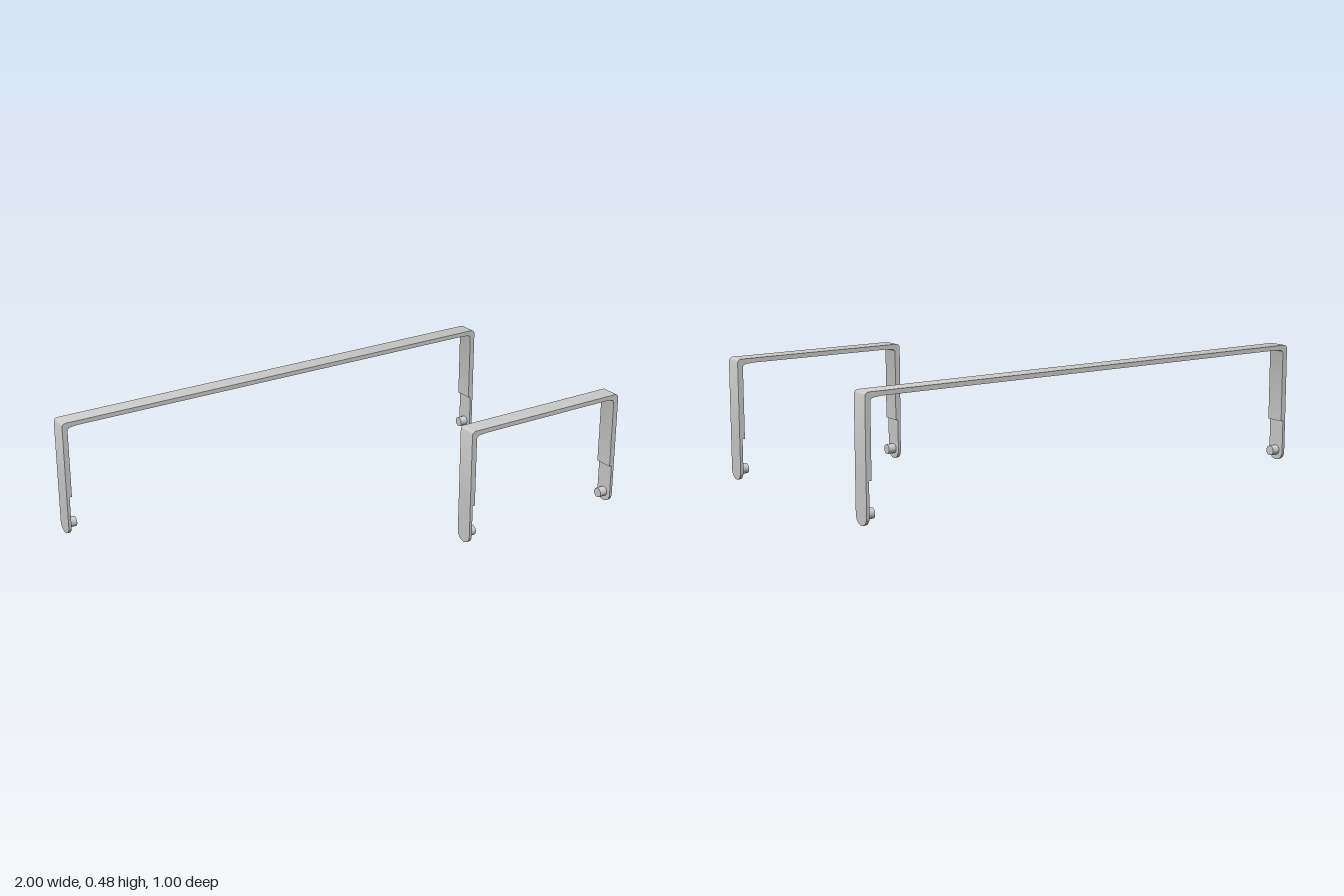
import * as THREE from 'three';
import { toCreasedNormals } from 'three/addons/utils/BufferGeometryUtils.js';

const TOP = 0.478, STEP = 0.165, WIDTH = 0.075, LEG = 0.022, BAR = 0.018, TAB = 0.012;
const material = new THREE.MeshStandardMaterial({ color: 0xcccccc });

function part(name, geometry) {
  const mesh = new THREE.Mesh(geometry, material);
  mesh.name = name;
  return mesh;
}

function extrude(shape, depth) {
  const geo = new THREE.ExtrudeGeometry(shape, { depth, bevelEnabled: false, curveSegments: 16 });
  geo.translate(0, 0, -depth / 2);
  return toCreasedNormals(geo, 0.5);
}

// U-shaped strip with rounded outer corners and filleted inner corners
function frameShape(h) {
  const r = 0.016, i = h - LEG, under = TOP - BAR;
  const s = new THREE.Shape();
  s.moveTo(-h, STEP);
  s.lineTo(-i, STEP);
  s.lineTo(-i, under - 0.018);
  s.quadraticCurveTo(-i, under - 0.004, -i + 0.014, under - 0.003);
  s.lineTo(-i + 0.045, under);
  s.lineTo(i - 0.045, under);
  s.lineTo(i - 0.014, under - 0.003);
  s.quadraticCurveTo(i, under - 0.004, i, under - 0.018);
  s.lineTo(i, STEP);
  s.lineTo(h, STEP);
  s.lineTo(h, TOP - r);
  s.absarc(h - r, TOP - r, r, 0, Math.PI / 2, false);
  s.lineTo(-h + r, TOP);
  s.absarc(-h + r, TOP - r, r, Math.PI / 2, Math.PI, false);
  s.closePath();
  return s;
}

// Thin round-ended tongue below the step
function tabShape() {
  const r = WIDTH / 2;
  const s = new THREE.Shape();
  s.moveTo(r, STEP);
  s.lineTo(-r, STEP);
  s.lineTo(-r, r);
  s.absarc(0, r, r, Math.PI, Math.PI * 2, false);
  s.closePath();
  return s;
}

function makeHandle(name, xMin, xMax, z) {
  const handle = new THREE.Group();
  handle.name = name;
  const h = (xMax - xMin) / 2;
  handle.add(part('handleFrame', extrude(frameShape(h), WIDTH)));
  for (const side of [-1, 1]) {
    const label = side > 0 ? 'left' : 'right';
    const tab = part(label + 'LegEnd', extrude(tabShape(), TAB));
    tab.rotation.y = Math.PI / 2;
    tab.position.x = side * (h - TAB / 2);
    // Pivot peg pointing inward
    const pegLength = 0.034;
    const peg = part(label + 'PivotPeg', new THREE.CylinderGeometry(0.02, 0.02, pegLength, 24));
    peg.rotation.z = Math.PI / 2;
    peg.position.set(side * (h - TAB + 0.001 - pegLength / 2), 0.04, 0);
    handle.add(tab, peg);
  }
  handle.position.set((xMin + xMax) / 2, 0, z);
  return handle;
}

export function createModel() {
  const model = new THREE.Group();
  model.name = 'bailHandles';
  model.add(makeHandle('longHandle', -1, 0.973, -0.46));
  model.add(makeHandle('shortHandle', 0.274, 1, 0.46));
  return model;
}
